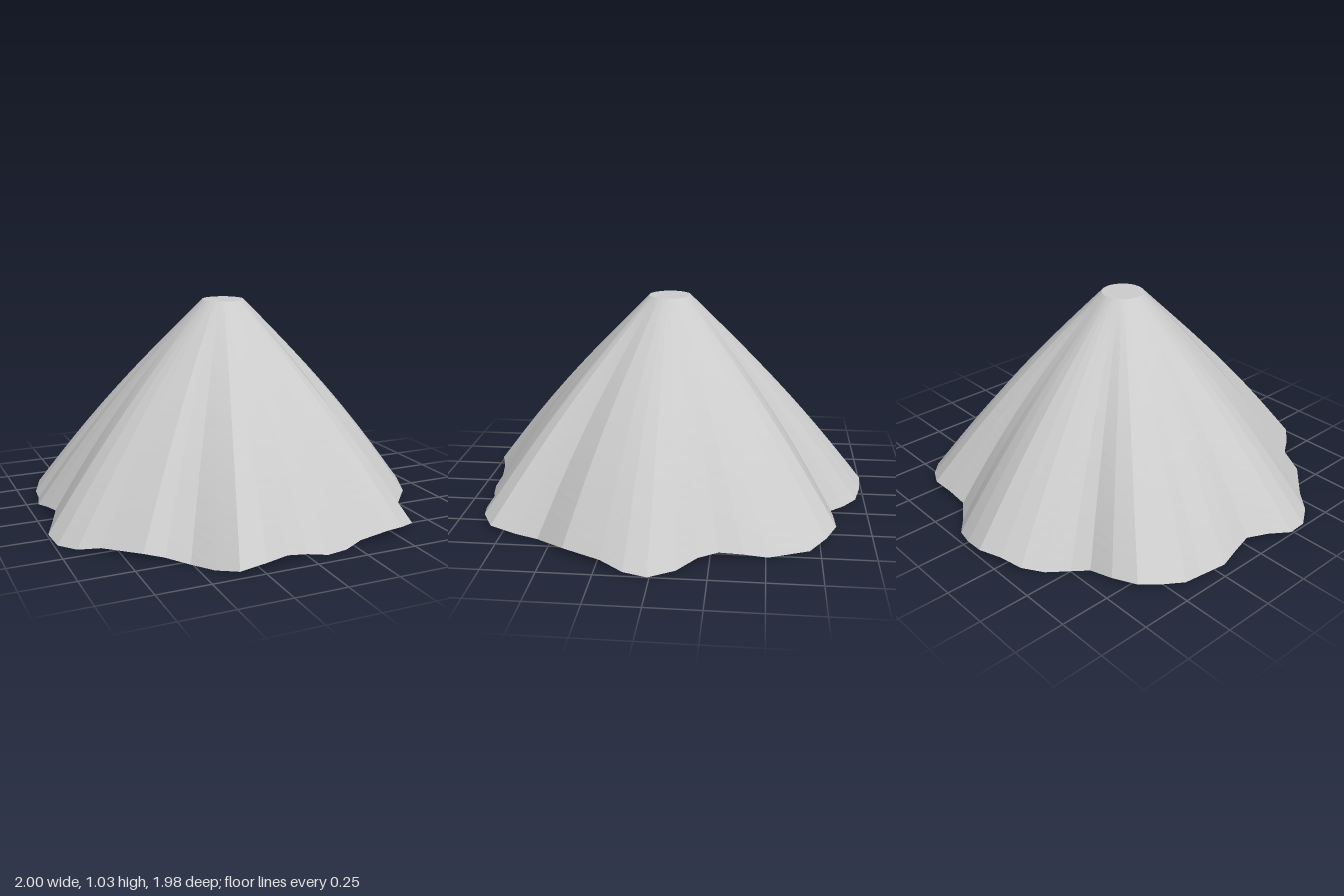
import * as THREE from 'three';

const HEIGHT = 1.035, TOP_RADIUS = 0.105, ROWS = 24;
const CX = -0.02, CZ = 0.01; // axis of the cone

// Hem outline as x, z pairs, counterclockwise seen from above
const HEM = [
  1, 0.01, 0.95, -0.11, 0.86, -0.2, 0.82, -0.29, 0.81, -0.4, 0.79, -0.51, 0.695, -0.7, 0.6, -0.78,
  0.5, -0.83, 0.38, -0.825, 0.27, -0.82, 0.17, -0.89, 0.085, -0.957, -0.02, -0.985, -0.13, -0.995,
  -0.245, -0.955, -0.35, -0.92, -0.43, -0.845, -0.5, -0.75, -0.57, -0.69, -0.695, -0.67, -0.81, -0.62,
  -0.87, -0.53, -0.915, -0.42, -0.92, -0.33, -0.95, -0.2, -0.93, -0.1, -0.91, 0, -0.95, 0.11,
  -1, 0.225, -0.985, 0.34, -0.92, 0.44, -0.83, 0.51, -0.685, 0.67, -0.6, 0.71, -0.51, 0.785,
  -0.44, 0.89, -0.365, 0.98, -0.24, 0.98, -0.12, 0.94, -0.015, 0.925, 0.085, 0.935, 0.19, 0.915,
  0.285, 0.88, 0.44, 0.877, 0.52, 0.865, 0.615, 0.81, 0.65, 0.685, 0.685, 0.567, 0.83, 0.417,
  0.92, 0.23, 0.98, 0.12,
];

function meshFrom(name, positions, index, material) {
  const geometry = new THREE.BufferGeometry();
  geometry.setAttribute('position', new THREE.Float32BufferAttribute(positions, 3));
  geometry.setIndex(index);
  geometry.computeVertexNormals();
  const mesh = new THREE.Mesh(geometry, material);
  mesh.name = name;
  return mesh;
}

export function createModel() {
  const group = new THREE.Group();
  group.name = 'pleatedCone';
  const material = new THREE.MeshStandardMaterial({ color: 0xcccccc, flatShading: true });

  // Each hem point becomes one fold line running up to the round top
  const folds = [];
  for (let i = 0; i < HEM.length; i += 2) {
    const dx = HEM[i] - CX, dz = HEM[i + 1] - CZ;
    const angle = Math.atan2(dz, dx);
    folds.push({ angle, radius: Math.hypot(dx, dz), lift: 0.021 * (1 - Math.cos(9 * angle)) });
  }
  const n = folds.length;
  const mean = folds.reduce((sum, f) => sum + f.radius, 0) / n;

  // Rings from top to hem: slightly bulging slope, folds deepening downwards
  const rings = [];
  for (let row = 0; row <= ROWS; row++) {
    const t = row / ROWS;
    const base = THREE.MathUtils.lerp(TOP_RADIUS, mean, t) + 0.04 * Math.sin(Math.PI * t);
    rings.push(folds.map((f) => {
      const r = base + (f.radius - mean) * Math.pow(t, 1.3);
      return [CX + r * Math.cos(f.angle), HEIGHT - (HEIGHT - f.lift) * t, CZ + r * Math.sin(f.angle)];
    }));
  }

  // Pleated side
  const sideIndex = [];
  for (let row = 0; row < ROWS; row++) {
    for (let j = 0; j < n; j++) {
      const k = (j + 1) % n;
      const a = row * n + j, b = a + n, d = row * n + k, c = d + n;
      sideIndex.push(a, b, c, a, c, d);
    }
  }
  group.add(meshFrom('pleatedSide', rings.flat(2), sideIndex, material));

  // Flat top and closed underside, as fans around the axis
  const fan = (name, ring, y, up) => {
    const index = [];
    for (let j = 0; j < n; j++) {
      const a = j + 1, b = ((j + 1) % n) + 1;
      index.push(0, up ? a : b, up ? b : a);
    }
    group.add(meshFrom(name, [CX, y, CZ, ...ring.flat()], index, material));
  };
  fan('topCap', rings[0], HEIGHT, true);
  fan('underside', rings[ROWS], 0.015, false);

  return group;
}
